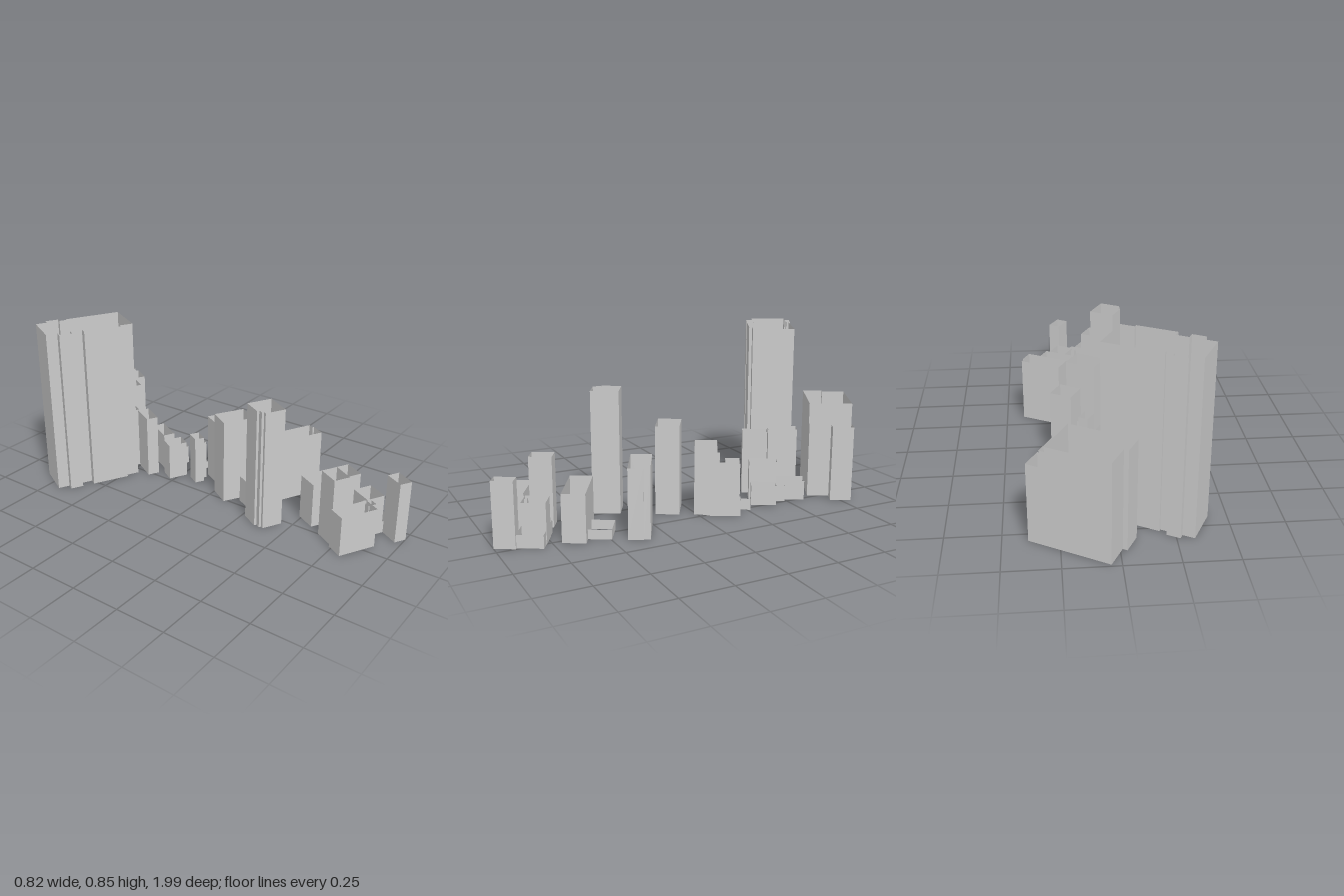
import * as THREE from 'three';

const material = new THREE.MeshStandardMaterial({
  color: 0xcccccc, flatShading: true, side: THREE.DoubleSide,
});

// Open-topped walls round a plan. Plan points are [p, q]: q runs along the
// front-to-right edge, p runs back from it at a right angle.
function walls(name, h, [fx, fz], [rx, rz], plan) {
  const b = Math.hypot(rx - fx, rz - fz);
  const ux = (rx - fx) / b, uz = (rz - fz) / b;
  const pts = plan(b).map(([p, q]) => [fx + p * uz + q * ux, fz - p * ux + q * uz]);
  const pos = [];
  pts.forEach(([x0, z0], i) => {
    const [x1, z1] = pts[(i + 1) % pts.length];
    pos.push(x0, 0, z0, x1, 0, z1, x1, h, z1, x0, 0, z0, x1, h, z1, x0, h, z0);
  });
  const g = new THREE.BufferGeometry();
  g.setAttribute('position', new THREE.Float32BufferAttribute(pos, 3));
  g.computeVertexNormals();
  const mesh = new THREE.Mesh(g, material);
  mesh.name = name;
  return mesh;
}

const box = (a) => (b) => [[0, 0], [0, b], [a, b], [a, 0]];

// Plain blocks: name, height, front corner, right corner, depth
const blocks = [
  ['frontBlock', 0.31, [0.2, 1.0], [0.25, 0.914], 0.063],
  ['longFrontBlock', 0.2, [0.06, 0.905], [0.103, 0.828], 0.192],
  ['slimFrontBlock', 0.185, [0.123, 0.87], [0.148, 0.825], 0.043],
  ['midFrontBlock', 0.193, [0.205, 0.872], [0.258, 0.775], 0.097],
  ['lowFrontBlock', 0.063, [0.24, 0.909], [0.3, 0.802], 0.199],
  ['squareFrontBlock', 0.342, [0.02, 0.775], [0.073, 0.68], 0.082],
  ['wideBlock', 0.229, [0.273, 0.711], [0.325, 0.615], 0.27],
  ['lowSideBlock', 0.046, [0.28, 0.593], [0.335, 0.497], 0.127],
  ['smallBlock', 0.14, [0.06, 0.27], [0.1, 0.19], 0.067],
  ['centreTower', 0.44, [0.122, 0.18], [0.182, 0.08], 0.16],
  ['centreBlock', 0.346, [0.215, 0.016], [0.268, -0.08], 0.113],
  ['centreLowBlock', 0.08, [0.255, -0.03], [0.335, -0.175], 0.06],
  ['innerBlock', 0.255, [0.1, -0.11], [0.135, -0.17], 0.05],
  ['innerBlock', 0.21, [0.14, -0.125], [0.182, -0.2], 0.05],
  ['innerBlock', 0.195, [0.1, -0.225], [0.135, -0.29], 0.1],
  ['innerLowBlock', 0.04, [0.23, -0.18], [0.28, -0.265], 0.05],
  ['rearLowBlock', 0.1, [0.22, -0.305], [0.28, -0.415], 0.07],
  ['rearLowBlock', 0.08, [0.2, -0.41], [0.245, -0.49], 0.06],
  ['rearLowBlock', 0.1, [0.2, -0.46], [0.27, -0.59], 0.08],
  ['rearBlock', 0.2, [0.14, -0.34], [0.205, -0.465], 0.06],
  ['rearBlock', 0.33, [0.03, -0.364], [0.09, -0.475], 0.06],
  ['rearBlock', 0.33, [0.05, -0.508], [0.12, -0.64], 0.07],
];

export function createModel() {
  const city = new THREE.Group();
  city.name = 'cityBlocks';
  for (const [name, h, f, r, a] of blocks) city.add(walls(name, h, f, r, box(a)));

  // Slim tower with a notched left side
  city.add(walls('slimTower', 0.61, [-0.024, 0.449], [0.042, 0.33], (b) => [
    [0, 0], [0, b], [0.128, b], [0.128, 0.04], [0.116, 0.04], [0.116, 0.015], [0.104, 0.015], [0.104, 0],
  ]));

  // Side block with clipped right corner
  city.add(walls('sideBlock', 0.335, [0.37, 0.433], [0.412, 0.352], (b) => [
    [0, 0], [0, b - 0.02], [0.008, b - 0.02], [0.008, b + 0.01], [0.225, b + 0.01], [0.225, 0],
  ]));

  // Tallest tower with shallow bays front and back
  city.add(walls('tallTower', 0.848, [-0.036, -0.455], [0.064, -0.642], (b) => [
    [0, 0], [0, b], [0.28, b], [0.28, b - 0.012], [0.317, b - 0.012], [0.317, b + 0.013],
    [0.382, b + 0.013], [0.382, b - 0.012], [0.439, b - 0.012], [0.439, 0.02],
    [0.382, 0.02], [0.382, -0.014], [0.317, -0.014], [0.317, 0.02],
    [0.257, 0.02], [0.257, -0.015], [0.067, -0.015], [0.067, 0],
  ]));

  // Rear tower and the stepped wing along its right side
  const f = [0.202, -0.655], r = [0.307, -0.843];
  city.add(walls('rearTower', 0.484, f, r, (b) => [
    [0, 0], [0, b], [0.3, b], [0.3, 0.1], [0.322, 0.1], [0.322, 0],
  ]));
  city.add(walls('rearWing', 0.382, f, r, (b) => [
    [0, 0], [-0.027, 0], [-0.027, 0.11], [-0.091, 0.11], [-0.091, b], [0, b],
  ]));
  return city;
}
